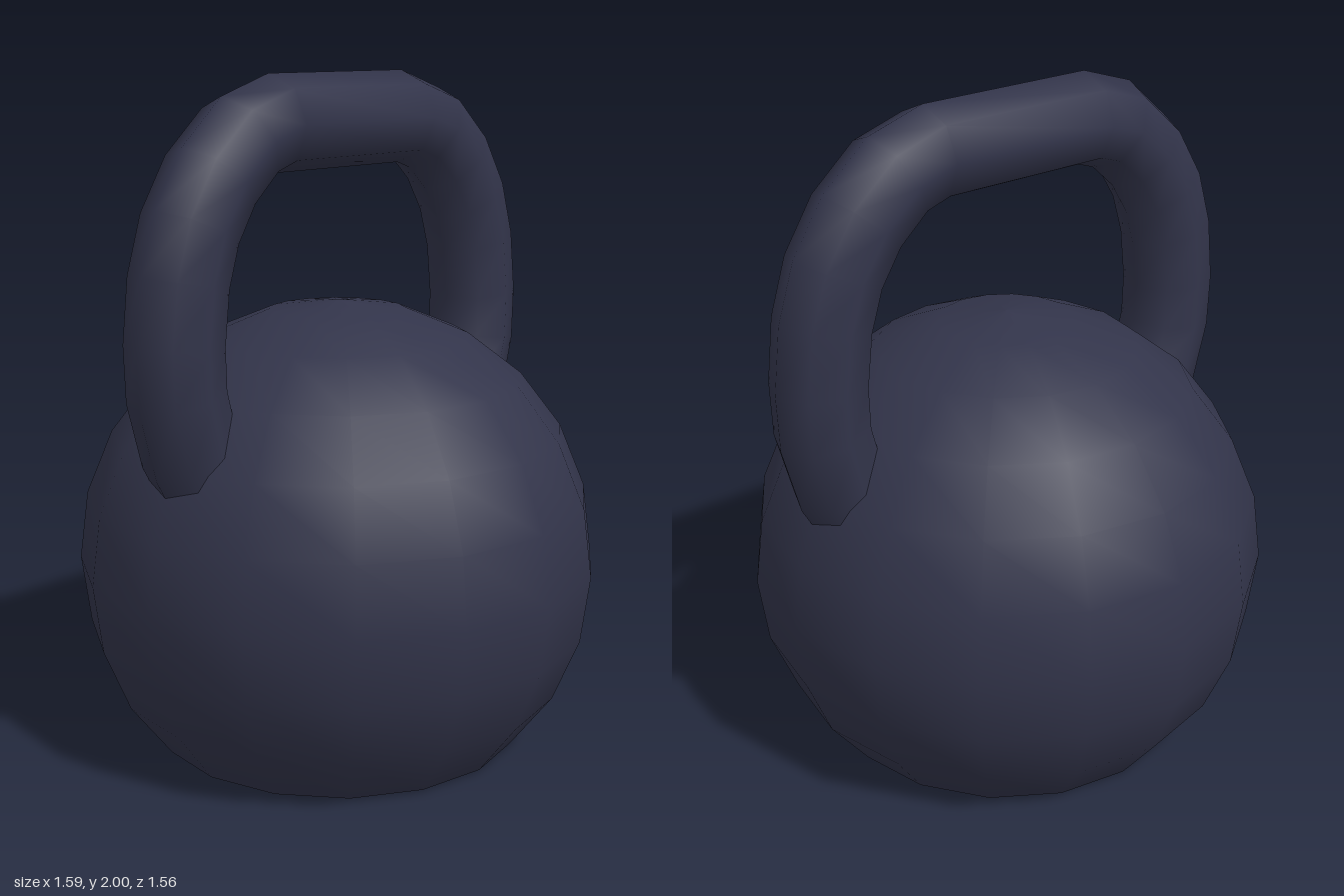
import * as THREE from 'three';

const TUBE_RADIUS = 0.137;
const TUBE_SIDES = 8;

// Octagonal rings swept along a centre line in the xy plane, smooth normals
function sweepTube(points) {
  const positions = [], index = [];
  points.forEach(([x, y], i) => {
    const a = points[Math.max(i - 1, 0)];
    const b = points[Math.min(i + 1, points.length - 1)];
    const normal = new THREE.Vector2(b[1] - a[1], a[0] - b[0]).normalize();
    for (let j = 0; j < TUBE_SIDES; j++) {
      const angle = (j / TUBE_SIDES) * Math.PI * 2;
      const r = Math.cos(angle) * TUBE_RADIUS;
      positions.push(x + normal.x * r, y + normal.y * r, Math.sin(angle) * TUBE_RADIUS);
      if (i === 0) continue;
      const k = (j + 1) % TUBE_SIDES;
      const p = (i - 1) * TUBE_SIDES, q = i * TUBE_SIDES;
      index.push(p + j, q + j, p + k, p + k, q + j, q + k);
    }
  });
  const geometry = new THREE.BufferGeometry();
  geometry.setAttribute('position', new THREE.Float32BufferAttribute(positions, 3));
  geometry.setIndex(index);
  geometry.computeVertexNormals();
  return geometry;
}

export function createModel() {
  const model = new THREE.Group();
  model.name = 'kettlebell';
  const iron = new THREE.MeshStandardMaterial({ color: 0x32344a, side: THREE.DoubleSide });

  const add = (name, geometry) => {
    const mesh = new THREE.Mesh(geometry, iron);
    mesh.name = name;
    model.add(mesh);
    return mesh;
  };

  // Ball cut off near the bottom, 15 degrees per profile step
  const profile = [new THREE.Vector2(0.53, 0)];
  for (let deg = -45; deg <= 90; deg += 15) {
    const a = THREE.MathUtils.degToRad(deg);
    profile.push(new THREE.Vector2(Math.max(0, 0.78 * Math.cos(a)), 0.56 + 0.78 * Math.sin(a)));
  }
  add('body', new THREE.LatheGeometry(profile, 16));

  // Flat base
  add('base', new THREE.CircleGeometry(0.53, 16)).rotation.x = Math.PI / 2;

  // Handle: half the centre line, from inside the body up to the grip, then mirrored
  const half = [
    [0.5, 0.8], [0.61, 0.985], [0.655, 1.15], [0.66, 1.29], [0.64, 1.46],
    [0.595, 1.6], [0.515, 1.725], [0.4, 1.825], [0.28, 1.863],
  ];
  const mirrored = half.map(([x, y]) => [-x, y]).reverse();
  add('handle', sweepTube([...half, ...mirrored]));

  return model;
}
